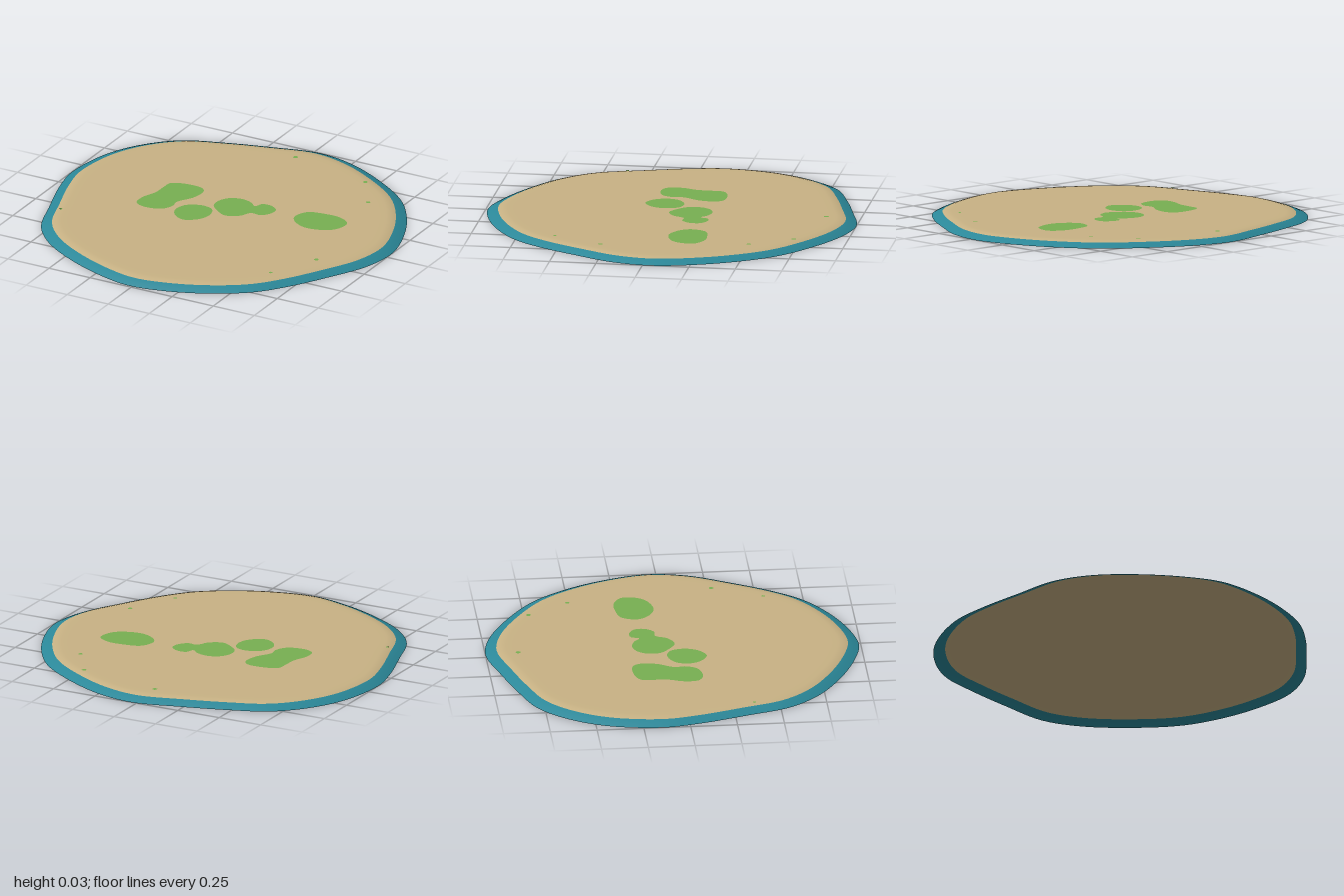
import * as THREE from 'three';

const mat = (name, color, side = THREE.FrontSide) => {
  const m = new THREE.MeshStandardMaterial({ color, side });
  m.name = name;
  return m;
};

// closed smooth curve through [x, z] pairs
const loop = (pairs, n) =>
  new THREE.CatmullRomCurve3(pairs.map(([x, z]) => new THREE.Vector3(x, 0, z)), true)
    .getSpacedPoints(n).slice(0, n);

// shoreline of the island
const SHORE = [
  [0.03, -1], [0.245, -0.96], [0.48, -0.845], [0.7, -0.685], [0.835, -0.51], [0.94, -0.295],
  [1, -0.055], [0.965, 0.16], [0.85, 0.385], [0.725, 0.59], [0.595, 0.745], [0.405, 0.87],
  [0.19, 0.955], [-0.02, 0.99], [-0.21, 0.95], [-0.45, 0.85], [-0.66, 0.715], [-0.8, 0.55],
  [-0.885, 0.31], [-0.965, 0.055], [-1, -0.145], [-0.955, -0.43], [-0.85, -0.63],
  [-0.69, -0.785], [-0.475, -0.87], [-0.235, -0.94],
];

// rings from the water's edge inwards: [scale of the shoreline, height]
const RINGS = [[1, 0], [0.97, 0.013], [0.94, 0.023], [0.915, 0.029], [0.89, 0.031], [0.85, 0.031]];
const WATER_BANDS = 2;
const TOP = 0.031;

// grass patches
const PATCHES = [
  [[-0.44, -0.21], [-0.385, -0.24], [-0.26, -0.24], [-0.23, -0.2], [-0.24, -0.11], [-0.29, -0.02],
    [-0.285, 0.04], [-0.32, 0.1], [-0.42, 0.12], [-0.475, 0.09], [-0.48, 0.015], [-0.45, -0.07], [-0.445, -0.16]],
  [[-0.15, -0.045], [-0.08, -0.025], [-0.055, 0.05], [-0.08, 0.12], [-0.15, 0.165], [-0.215, 0.135],
    [-0.25, 0.07], [-0.23, -0.005]],
  [[0, -0.22], [0.065, -0.2], [0.1, -0.17], [0.12, -0.215], [0.17, -0.22], [0.22, -0.185], [0.22, -0.13],
    [0.18, -0.085], [0.125, -0.085], [0.09, -0.025], [0.02, 0.01], [-0.035, -0.015], [-0.1, -0.08],
    [-0.1, -0.15], [-0.065, -0.2]],
  [[0.385, -0.245], [0.46, -0.265], [0.565, -0.265], [0.635, -0.22], [0.635, -0.155], [0.595, -0.095],
    [0.475, -0.06], [0.39, -0.095], [0.35, -0.15], [0.355, -0.2]],
];

// small tufts: [x, z, radius]
const TUFTS = [
  [-0.02, -0.83, 0.014], [0.46, -0.73, 0.013], [0.6, -0.51, 0.012],
  [0.72, 0.27, 0.013], [-0.785, 0.36, 0.009], [0.59, 0.535, 0.01],
];

// open shell: sloping water rim and sand plateau
function islandGeometry() {
  const n = 160, pos = [], index = [];
  const shore = loop(SHORE, n);
  for (const [s, y] of RINGS) for (const p of shore) pos.push(p.x * s, y, p.z * s);
  pos.push(0, TOP, 0);
  const last = RINGS.length - 1;
  for (let r = 0; r < last; r++) {
    for (let i = 0; i < n; i++) {
      const j = (i + 1) % n;
      const a = r * n + i, b = r * n + j, c = a + n, d = b + n;
      index.push(a, c, b, b, c, d);
    }
  }
  for (let i = 0; i < n; i++) index.push(last * n + i, RINGS.length * n, last * n + (i + 1) % n);
  const g = new THREE.BufferGeometry();
  g.setAttribute('position', new THREE.Float32BufferAttribute(pos, 3));
  g.setIndex(index);
  g.computeVertexNormals();
  const split = WATER_BANDS * n * 6;
  g.addGroup(0, split, 0);
  g.addGroup(split, index.length - split, 1);
  return g;
}

export function createModel() {
  const group = new THREE.Group();
  group.name = 'island';
  const water = mat('shallowWater', 0x2b8899, THREE.DoubleSide);
  const sand = mat('sand', 0xc8b284, THREE.DoubleSide);
  const grass = mat('grass', 0x78b052);

  const add = (name, geometry, material) => {
    const mesh = new THREE.Mesh(geometry, material);
    mesh.name = name;
    group.add(mesh);
    return mesh;
  };

  add('islandGround', islandGeometry(), [water, sand]);

  // grass lies just above the sand
  PATCHES.forEach((pairs, i) => {
    const shape = new THREE.Shape(loop(pairs, 64).map((p) => new THREE.Vector2(p.x, -p.z)));
    const g = new THREE.ShapeGeometry(shape).rotateX(-Math.PI / 2);
    add(`grassPatch${i + 1}`, g, grass).position.y = TOP + 0.001;
  });
  TUFTS.forEach(([x, z, r], i) => {
    const g = new THREE.CircleGeometry(r, 12).rotateX(-Math.PI / 2);
    add(`grassTuft${i + 1}`, g, grass).position.set(x, TOP + 0.001, z);
  });

  return group;
}
